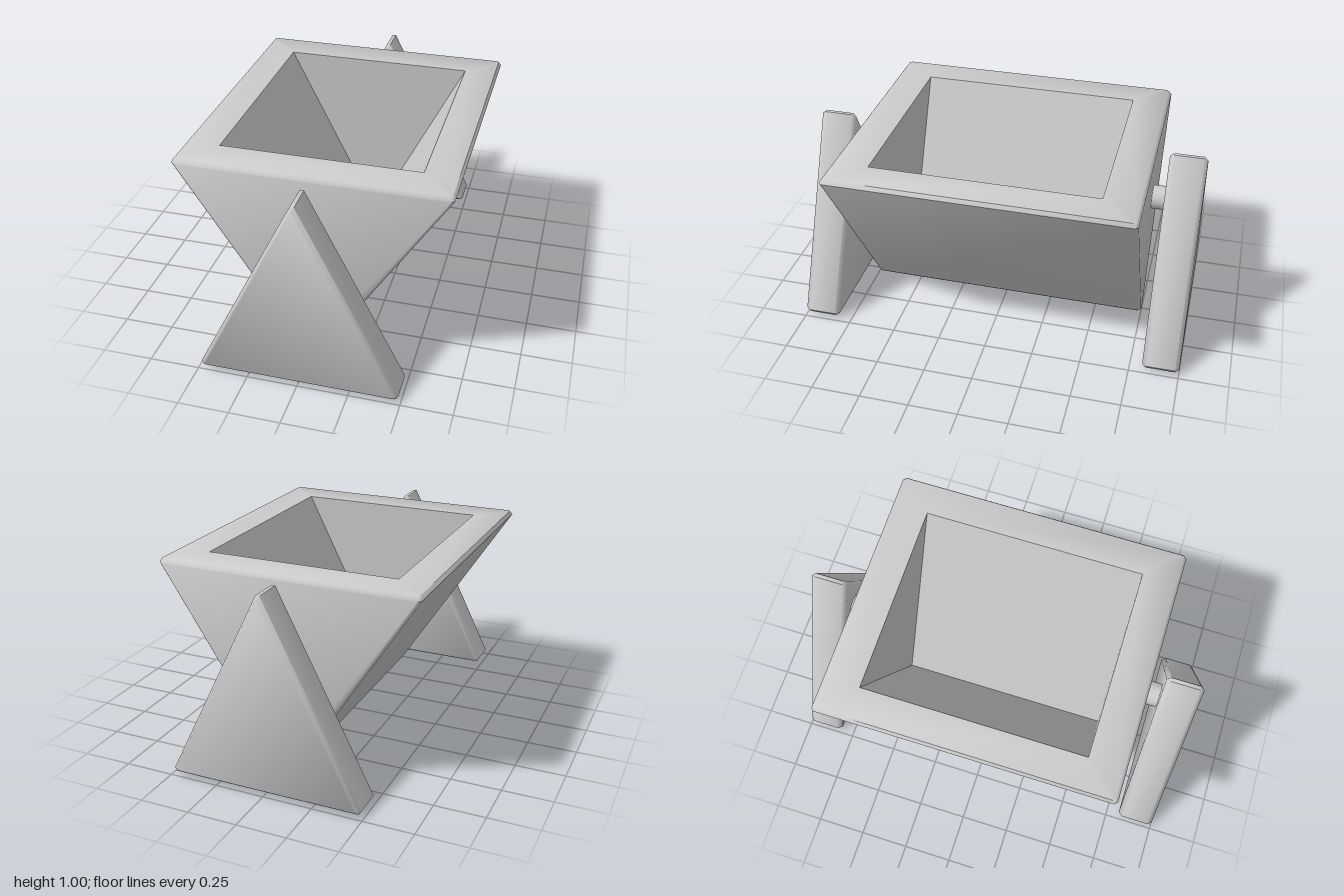
import * as THREE from 'three';
import { toCreasedNormals } from 'three/addons/utils/BufferGeometryUtils.js';

const material = new THREE.MeshStandardMaterial({ color: 0xcccccc });

function addPart(group, name, geometry) {
  const mesh = new THREE.Mesh(geometry, material);
  mesh.name = name;
  group.add(mesh);
  return mesh;
}

// Rectangle with chamfered corners, counter-clockwise seen from the front of an xz plan
function ring([hx, y, hz, c]) {
  return [
    [hx, y, hz - c], [hx, y, -hz + c], [hx - c, y, -hz], [-hx + c, y, -hz],
    [-hx, y, -hz + c], [-hx, y, hz - c], [-hx + c, y, hz], [hx - c, y, hz],
  ];
}

// Joins successive rings with quads
function loft(sections) {
  const positions = sections.flatMap((s) => ring(s).flat());
  const index = [];
  for (let r = 0; r < sections.length - 1; r++) {
    for (let i = 0; i < 8; i++) {
      const a = r * 8 + i, b = r * 8 + (i + 1) % 8;
      index.push(a, b, b + 8, a, b + 8, a + 8);
    }
  }
  const geometry = new THREE.BufferGeometry();
  geometry.setAttribute('position', new THREE.Float32BufferAttribute(positions, 3));
  geometry.setIndex(index);
  return toCreasedNormals(geometry, 1.0);
}

export function createModel() {
  const group = new THREE.Group();

  // V-shaped trough: underside, outer walls, rim, then down into the cavity
  // each section: half width, height, half length, corner chamfer
  addPart(group, 'trough', loft([
    [0, 0, 0, 0],
    [0.025, 0, 0.74, 0.012],
    [0.04, 0.015, 0.75, 0.015],
    [0.66, 0.98, 0.75, 0.015],
    [0.648, 1, 0.735, 0.01],
    [0.488, 1, 0.563, 0],
    [0, 0.03, 0.563, 0],
  ]));

  // Triangular end supports with clipped corners and bevelled edges
  const outline = new THREE.Shape([
    [-0.475, 0.015], [0.475, 0.015], [0.488, 0.035],
    [0.01, 0.99], [-0.01, 0.99], [-0.488, 0.035],
  ].map(([x, y]) => new THREE.Vector2(x, y)));
  const supportGeometry = toCreasedNormals(new THREE.ExtrudeGeometry(outline, {
    depth: 0.146, bevelThickness: 0.02, bevelSize: 0.015, bevelOffset: -0.015, bevelSegments: 1,
  }), 1.0);

  // Axle stubs joining trough and supports
  const axleGeometry = new THREE.CylinderGeometry(0.06, 0.06, 0.16, 32).rotateX(Math.PI / 2);

  for (const [side, sign] of [['front', 1], ['back', -1]]) {
    addPart(group, side + 'Support', supportGeometry).position.z = sign * 0.907 - 0.073;
    addPart(group, side + 'Axle', axleGeometry).position.set(0, 0.73, sign * 0.78);
  }
  return group;
}
